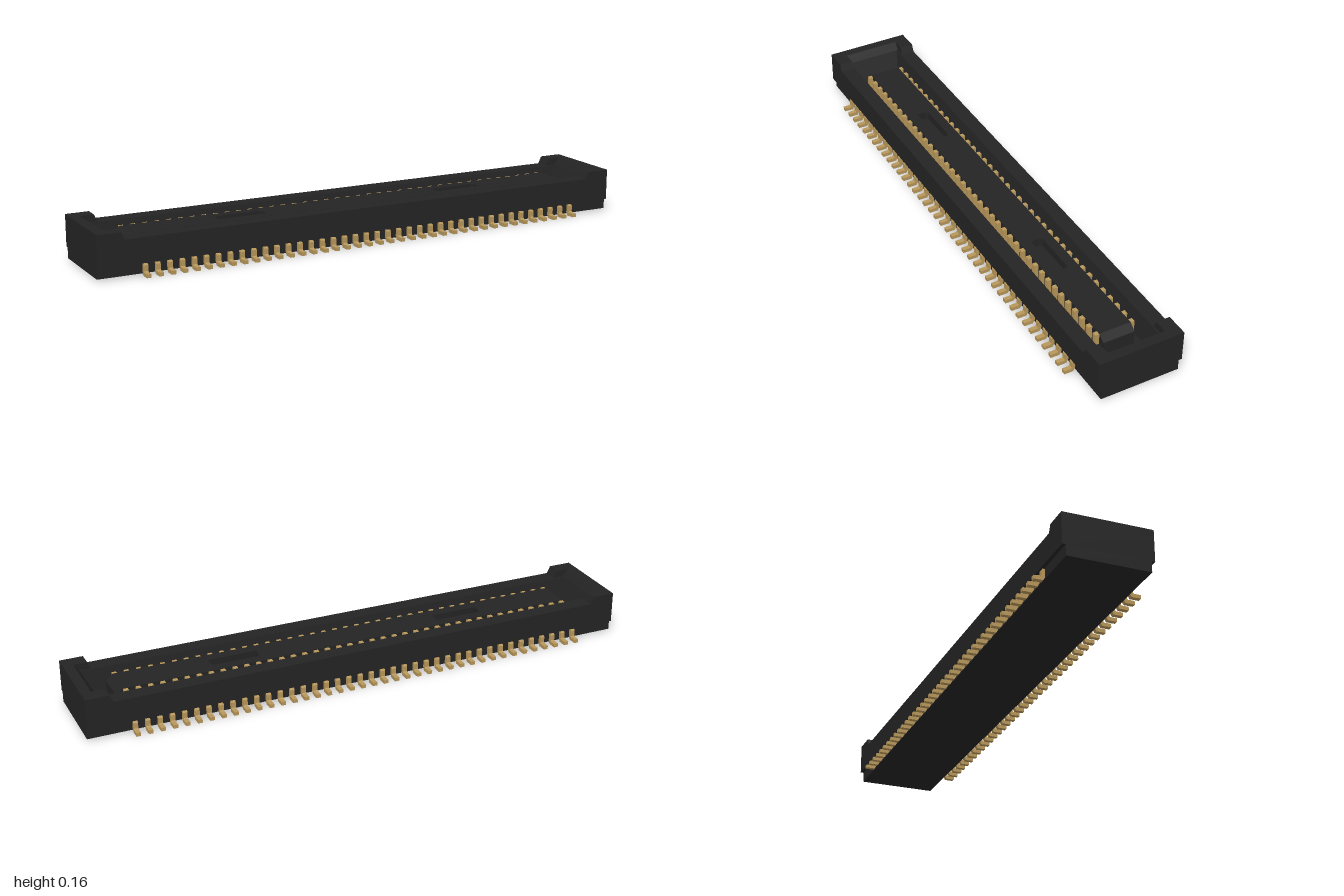
import * as THREE from 'three';

const plastic = new THREE.MeshStandardMaterial({ color: 0x242424 });
plastic.name = 'black plastic';
const gold = new THREE.MeshStandardMaterial({ color: 0xb8975a });
gold.name = 'gold';

function add(parent, name, geometry, material) {
  const mesh = new THREE.Mesh(geometry, material);
  mesh.name = name;
  parent.add(mesh);
  return mesh;
}

// Skin a stack of centred rectangles [halfX, halfZ, y], capped at both ends.
function loft(loops) {
  const rings = loops.map(([x, z, y]) => [[x, y, z], [x, y, -z], [-x, y, -z], [-x, y, z]]);
  const pos = [];
  const quad = (a, b, c, d) => pos.push(...a, ...b, ...c, ...a, ...c, ...d);
  const first = rings[0], last = rings[rings.length - 1];
  quad(first[3], first[2], first[1], first[0]);
  quad(...last);
  for (let i = 0; i < rings.length - 1; i++) {
    for (let j = 0; j < 4; j++) {
      const k = (j + 1) % 4;
      quad(rings[i][j], rings[i][k], rings[i + 1][k], rings[i + 1][j]);
    }
  }
  const g = new THREE.BufferGeometry();
  g.setAttribute('position', new THREE.Float32BufferAttribute(pos, 3));
  g.computeVertexNormals();
  return g;
}

// Extrude an x/y profile from z0 to z1.
function prism(points, z0, z1) {
  const shape = new THREE.Shape(points.map(([x, y]) => new THREE.Vector2(x, y)));
  return new THREE.ExtrudeGeometry(shape, { depth: z1 - z0, bevelEnabled: false }).translate(0, 0, z0);
}

export function createModel() {
  const model = new THREE.Group();
  model.name = 'boardConnector';

  // Narrow base, overhanging walls and the sloped cavity
  add(model, 'housing', loft([
    [1, 0.143, 0.007], [1, 0.143, 0.045], [1, 0.155, 0.045], [1, 0.155, 0.131],
    [0.945, 0.1, 0.131], [0.905, 0.085, 0.05],
  ]), plastic);

  // Raised end walls with returns at the corners
  for (const s of [-1, 1]) {
    const end = new THREE.Group();
    end.name = s > 0 ? 'leftRaisedEnd' : 'rightRaisedEnd';
    model.add(end);
    const wall = [[0.945, 0.131], [1, 0.131], [1, 0.157], [0.965, 0.157]];
    const corner = [[0.905, 0.131], [1, 0.131], [1, 0.157], [0.917, 0.157]];
    const mirror = (pts) => pts.map(([x, y]) => [s * x, y]);
    add(end, 'endWall', prism(mirror(wall), -0.105, 0.105), plastic);
    add(end, 'frontCorner', prism(mirror(corner), 0.105, 0.155), plastic);
    add(end, 'backCorner', prism(mirror(corner), -0.155, -0.105), plastic);

    // Sloped end of the central tongue
    const slope = [[0.845, 0.09], [0.87, 0.09], [0.87, 0.1], [0.845, 0.12]];
    add(model, 'tongueEnd', prism(mirror(slope), -0.058, 0.058), plastic);
  }

  // Central tongue with two shallow slots
  add(model, 'tongueBase', loft([[0.87, 0.058, 0.05], [0.87, 0.058, 0.09]]), plastic);
  const top = new THREE.Shape([[-0.845, -0.058], [0.845, -0.058], [0.845, 0.058], [-0.845, 0.058]]
    .map(([x, y]) => new THREE.Vector2(x, y)));
  for (const cx of [-0.43, 0.43]) {
    const slot = [[-0.088, -0.02], [-0.088, 0.012], [-0.08, 0.022], [0.08, 0.022], [0.088, 0.012], [0.088, -0.02]];
    top.holes.push(new THREE.Path(slot.map(([x, y]) => new THREE.Vector2(cx + x, y))));
  }
  const topGeometry = new THREE.ExtrudeGeometry(top, { depth: 0.03, bevelEnabled: false });
  topGeometry.rotateX(-Math.PI / 2).translate(0, 0.09, 0);
  add(model, 'tongueTop', topGeometry, plastic);

  // Two mirrored rows of pins: L-shaped outer legs and contacts beside the tongue
  const legShape = [[0.142, 0.014], [0.15, 0], [0.182, 0], [0.182, 0.013], [0.158, 0.013],
    [0.155, 0.016], [0.155, 0.036], [0.152, 0.04], [0.142, 0.04]];
  const leg = prism(legShape, -0.008, 0.008).rotateY(-Math.PI / 2);
  const contact = new THREE.BoxGeometry(0.016, 0.068, 0.016).translate(0, 0.084, 0.065);
  const count = 40, pitch = 0.0429;
  for (const side of ['front', 'back']) {
    const row = new THREE.Group();
    row.name = side + 'PinRow';
    if (side === 'back') row.rotation.y = Math.PI;
    for (let i = 0; i < count; i++) {
      const x = (i - (count - 1) / 2) * pitch;
      add(row, 'leg', leg, gold).position.x = x;
      add(row, 'contact', contact, gold).position.x = x;
    }
    model.add(row);
  }
  return model;
}
